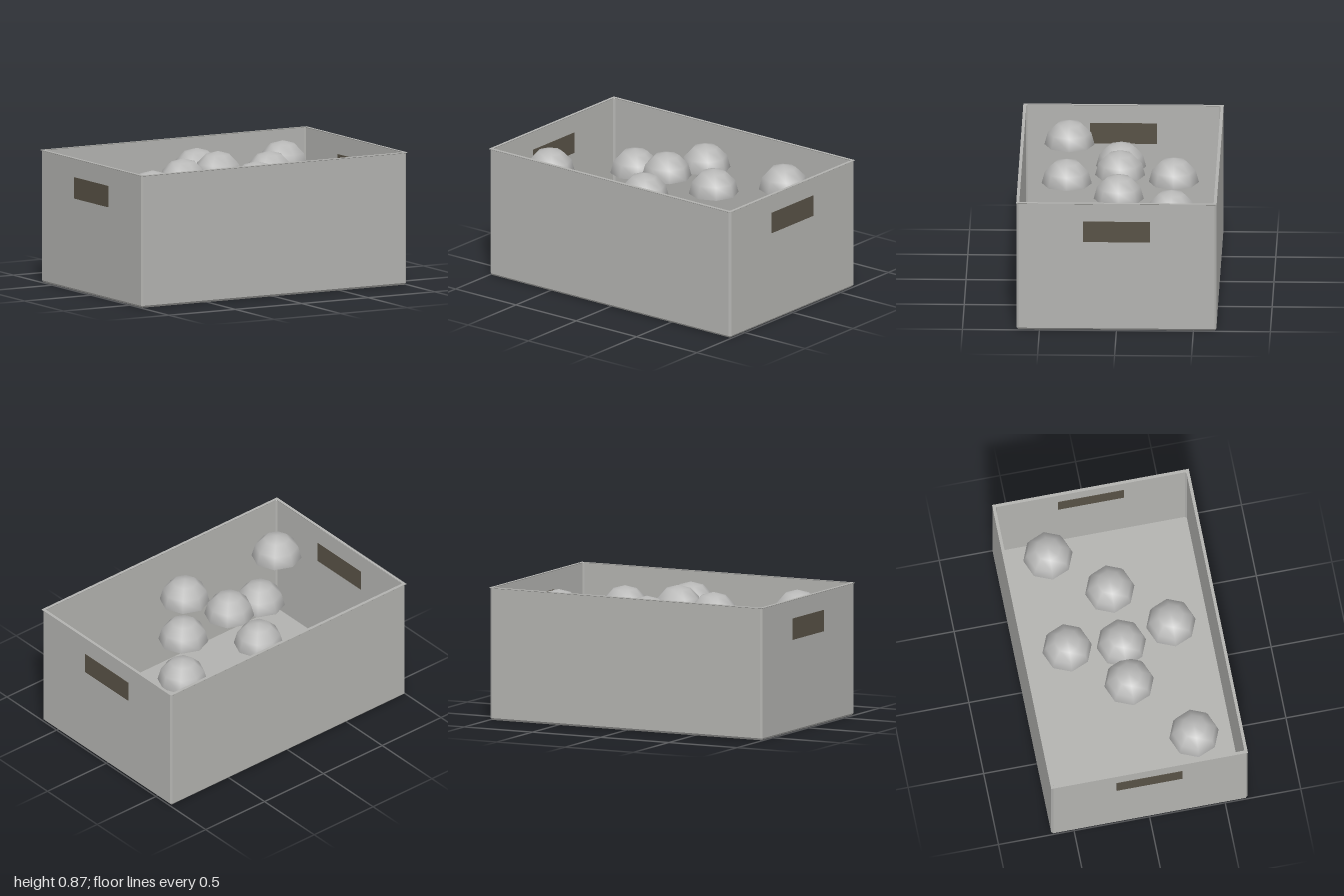
import * as THREE from 'three';

// Rectangle loop with chamfered corners, seen in plan at height y
function loop(y, hx, hz, c) {
  return [
    [hx, hz - c], [hx - c, hz], [-hx + c, hz], [-hx, hz - c],
    [-hx, -hz + c], [-hx + c, -hz], [hx - c, -hz], [hx, -hz + c],
  ].map(([x, z]) => [x, y, z]);
}

// Joins successive loops with flat faces and closes both ends
function loft(loops) {
  const pos = [];
  const tri = (a, b, c) => pos.push(...a, ...b, ...c);
  for (let i = 0; i < loops.length - 1; i++) {
    const a = loops[i], b = loops[i + 1];
    for (let j = 0; j < 8; j++) {
      const k = (j + 1) % 8;
      tri(a[j], b[k], a[k]);
      tri(a[j], b[j], b[k]);
    }
  }
  const first = loops[0], last = loops[loops.length - 1];
  for (let j = 1; j < 7; j++) {
    tri(first[0], first[j], first[j + 1]);
    tri(last[0], last[j + 1], last[j]);
  }
  const geo = new THREE.BufferGeometry();
  geo.setAttribute('position', new THREE.Float32BufferAttribute(pos, 3));
  geo.computeVertexNormals();
  return geo;
}

export function createModel() {
  const model = new THREE.Group();
  model.name = 'openCrate';

  const crateGrey = new THREE.MeshStandardMaterial({ color: 0xb2b2af });
  crateGrey.name = 'crate grey';
  const domeGrey = new THREE.MeshStandardMaterial({ color: 0xb8b8b7, side: THREE.DoubleSide });
  domeGrey.name = 'dome grey';
  const handleBrown = new THREE.MeshStandardMaterial({ color: 0x575145 });
  handleBrown.name = 'handle brown';

  // Open crate: bevelled base, outer walls, square rim, inner walls, floor
  const crate = new THREE.Mesh(loft([
    loop(0, 0.985, 0.637, 0),
    loop(0.014, 0.997, 0.649, 0.012),
    loop(0.864, 0.997, 0.649, 0.012),
    loop(0.866, 1, 0.651, 0),
    loop(0.87, 1, 0.651, 0),
    loop(0.87, 0.98, 0.631, 0),
    loop(0.866, 0.982, 0.633, 0.01),
    loop(0.02, 0.982, 0.633, 0.01),
  ]), crateGrey);
  crate.name = 'crate';
  model.add(crate);

  // Handle plates on the outside and inside of both end walls
  const plate = new THREE.BoxGeometry(0.006, 0.14, 0.434);
  for (const side of [1, -1]) {
    for (const [face, x] of [['outer', 0.997], ['inner', 0.982]]) {
      const handle = new THREE.Mesh(plate, handleBrown);
      handle.name = `${face}Handle${side > 0 ? 'Left' : 'Right'}`;
      handle.position.set(side * x, 0.676, 0);
      model.add(handle);
    }
  }

  // Half-round domes inside the crate: x, base height, z
  const domes = new THREE.Group();
  domes.name = 'domes';
  const domeGeo = new THREE.SphereGeometry(0.163, 8, 3, 0, Math.PI * 2, 0, Math.PI / 2);
  [
    [-0.045, 0.711, 0],
    [-0.305, 0.682, 0],
    [0.345, 0.682, 0],
    [0, 0.682, -0.35],
    [0.648, 0.682, -0.35],
    [0.042, 0.682, 0.345],
    [-0.738, 0.682, 0.345],
  ].forEach(([x, y, z], i) => {
    const dome = new THREE.Mesh(domeGeo, domeGrey);
    dome.name = `dome${i + 1}`;
    dome.position.set(x, y, z);
    domes.add(dome);
  });
  model.add(domes);
  return model;
}
